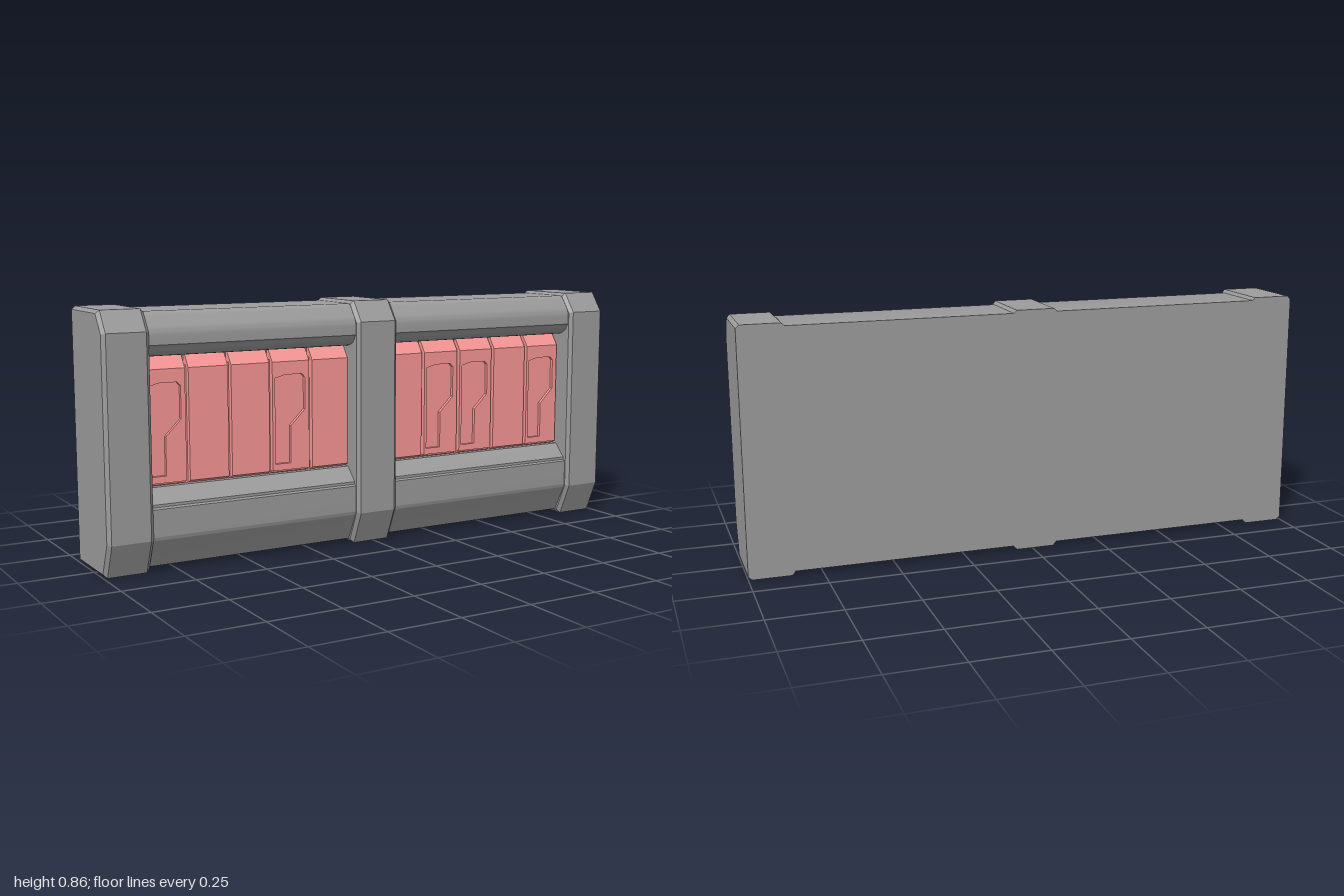
import * as THREE from 'three';
import { toCreasedNormals } from 'three/addons/utils/BufferGeometryUtils.js';

const grey = new THREE.MeshStandardMaterial({ color: 0x9c9c9c });
const red = new THREE.MeshStandardMaterial({ color: 0xfa9997 });

const BACK = -0.1425;

function addMesh(parent, name, geometry, material) {
  const mesh = new THREE.Mesh(geometry, material);
  mesh.name = name;
  parent.add(mesh);
  return mesh;
}

// Extrudes a (z, y) outline along x from x0 to x1.
function extrudeAlongX(shape, x0, x1, crease = 0.5) {
  const geo = new THREE.ExtrudeGeometry(shape, { depth: x1 - x0, bevelEnabled: false, curveSegments: 6 });
  geo.rotateY(-Math.PI / 2).translate(x1, 0, 0);
  return toCreasedNormals(geo, crease);
}

const polygon = (pts) => new THREE.Shape(pts.map(([a, b]) => new THREE.Vector2(a, b)));

// Post outlines as (z, y): the end faces are slightly smaller, which bevels the edges.
const postOuter = [[BACK, 0], [0.093, 0], [0.1425, 0.115], [0.1425, 0.785], [0.093, 0.855], [BACK, 0.855]];
const postInner = [[BACK, 0.012], [0.085, 0.012], [0.131, 0.118], [0.131, 0.782], [0.087, 0.844], [BACK, 0.844]];

// Lofts the post outlines across x and closes both ends.
function postGeometry(x0, x1) {
  const b = 0.012;
  const rings = [[x0, postInner], [x0 + b, postOuter], [x1 - b, postOuter], [x1, postInner]];
  const n = postOuter.length;
  const pos = [];
  const put = (r, i) => pos.push(rings[r][0], rings[r][1][i % n][1], rings[r][1][i % n][0]);
  for (let r = 0; r < 3; r++) {
    for (let i = 0; i < n; i++) {
      put(r, i); put(r + 1, i); put(r + 1, i + 1);
      put(r, i); put(r + 1, i + 1); put(r, i + 1);
    }
  }
  for (let i = 1; i < n - 1; i++) {
    put(0, 0); put(0, i); put(0, i + 1);
    put(3, 0); put(3, i + 1); put(3, i);
  }
  const geo = new THREE.BufferGeometry();
  geo.setAttribute('position', new THREE.Float32BufferAttribute(pos, 3));
  geo.computeVertexNormals();
  return geo;
}

// Frame section: rounded top rail, recess, sloping ledge and chamfered bottom rail.
function frameShape() {
  const s = new THREE.Shape();
  s.moveTo(BACK, 0.014);
  s.lineTo(0.076, 0.014);
  s.lineTo(0.123, 0.108);
  s.quadraticCurveTo(0.127, 0.115, 0.127, 0.122);
  s.lineTo(0.127, 0.212);
  s.lineTo(0.118, 0.217);
  s.lineTo(0.118, 0.226);
  s.lineTo(0.072, 0.274);
  s.lineTo(0.03, 0.274);
  s.lineTo(0.03, 0.7);
  s.lineTo(0.072, 0.7);
  s.quadraticCurveTo(0.112, 0.707, 0.12, 0.733);
  s.lineTo(0.127, 0.74);
  s.lineTo(0.127, 0.77);
  s.quadraticCurveTo(0.126, 0.79, 0.114, 0.805);
  s.lineTo(0.096, 0.83);
  s.quadraticCurveTo(0.086, 0.845, 0.07, 0.845);
  s.lineTo(BACK, 0.845);
  s.closePath();
  return s;
}

// Slab outline as (z, y); a stamped slab is set back where its front plate goes.
const F = 0.07;
const STAMP_DEPTH = 0.012;
const slabTop = [[F, 0.657], [0.042, 0.697], [0.02, 0.697]];
const plainSlab = polygon([[0.02, 0.274], [0.05, 0.274], [F, 0.284], ...slabTop]);
const stampedSlab = polygon([[0.02, 0.274], [0.05, 0.274], [F - STAMP_DEPTH, 0.278],
  [F - STAMP_DEPTH, 0.635], [F, 0.635], ...slabTop]);

// Outline of the stamped recess, measured from the left of its slab cell.
const stamp = [[0.016, 0.307], [0.075, 0.307], [0.075, 0.436], [0.13, 0.49], [0.13, 0.6],
  [0.118, 0.612], [0.055, 0.612], [0.016, 0.602]];

function addSlab(parent, x0, x1, cell, stamped) {
  addMesh(parent, 'slab', extrudeAlongX(stamped ? stampedSlab : plainSlab, x0, x1, 0.3), red);
  if (!stamped) return;
  const plate = polygon([[x0, 0.284], [x1, 0.284], [x1, 0.635], [x0, 0.635]]);
  plate.holes.push(new THREE.Path(stamp.map(([x, y]) => new THREE.Vector2(cell + x, y))));
  const geo = new THREE.ExtrudeGeometry(plate, { depth: STAMP_DEPTH, bevelEnabled: false });
  addMesh(parent, 'stampedPlate', geo.translate(0, 0, F - STAMP_DEPTH), red);
}

export function createModel() {
  const model = new THREE.Group();
  model.name = 'wallPanel';

  // Posts
  addMesh(model, 'rightPost', postGeometry(-1, -0.843), grey);
  addMesh(model, 'middlePost', postGeometry(-0.09, 0.07), grey);
  addMesh(model, 'leftPost', postGeometry(0.843, 1), grey);

  // Two bays, each with a frame section and five slabs
  const bays = [
    { name: 'rightBay', x0: -0.845, x1: -0.085, stamped: [0, 3] },
    { name: 'leftBay', x0: 0.07, x1: 0.843, stamped: [1, 2, 4] },
  ];
  for (const { name, x0, x1, stamped } of bays) {
    const bay = new THREE.Group();
    bay.name = name;
    model.add(bay);
    addMesh(bay, 'frame', extrudeAlongX(frameShape(), x0 - 0.01, x1 + 0.01), grey);

    // Backing seen in the gaps between slabs
    const backing = new THREE.BoxGeometry(x1 - x0, 0.39, 0.03);
    addMesh(bay, 'slabBacking', backing.translate((x0 + x1) / 2, 0.469, 0.035), red);

    const pitch = (x1 - x0) / 5;
    for (let i = 0; i < 5; i++) {
      const cell = x0 + i * pitch;
      addSlab(bay, cell + 0.006, cell + pitch - 0.006, cell, stamped.includes(i));
    }
  }
  return model;
}
